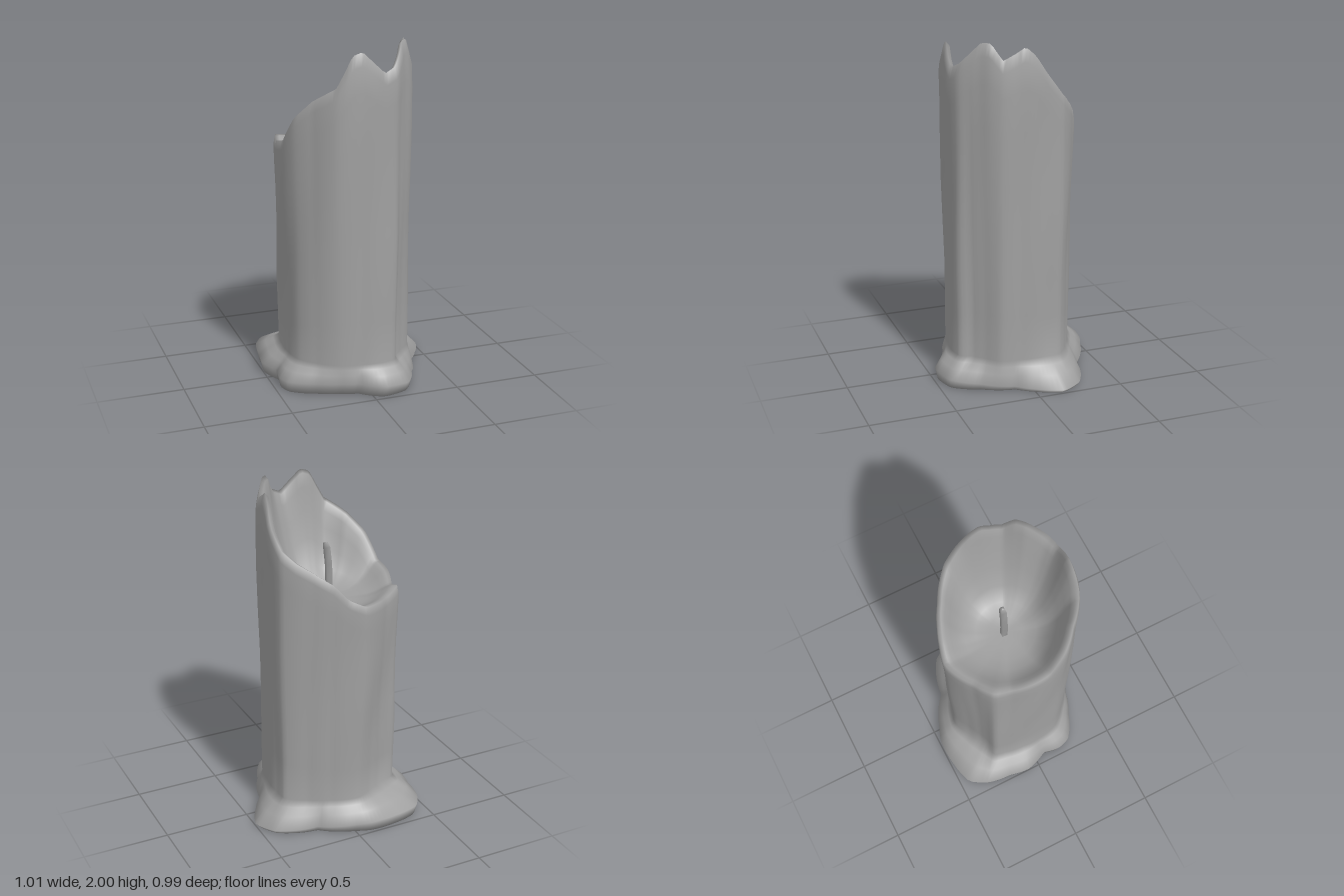
import * as THREE from 'three';

const CX = -0.03, N = 120;
const material = new THREE.MeshStandardMaterial({ color: 0xa0a0a0, side: THREE.DoubleSide });

// Outlines as [x, z] seen from above
const FOOT = [
  [-0.08, -0.49], [-0.25, -0.49], [-0.41, -0.45], [-0.47, -0.35], [-0.49, -0.2], [-0.51, -0.08],
  [-0.455, 0.06], [-0.475, 0.16], [-0.45, 0.235], [-0.3, 0.32], [-0.17, 0.37], [-0.07, 0.4],
  [0.06, 0.49], [0.215, 0.45], [0.3, 0.29], [0.37, 0.1], [0.44, 0], [0.505, -0.15],
  [0.435, -0.27], [0.36, -0.31], [0.2, -0.35], [0.1, -0.42], [0, -0.46]];
const LOWER = [
  [-0.06, -0.37], [0.1, -0.325], [0.22, -0.265], [0.29, -0.225], [0.335, -0.185], [0.34, -0.1],
  [0.335, 0.05], [0.32, 0.17], [0.25, 0.24], [0.19, 0.3], [0.165, 0.365], [0.08, 0.385], [-0.04, 0.375],
  [-0.17, 0.35], [-0.28, 0.27], [-0.36, 0.18], [-0.385, 0.06], [-0.385, -0.06], [-0.37, -0.17],
  [-0.355, -0.24], [-0.29, -0.255], [-0.24, -0.275], [-0.16, -0.32]];
// Rim points carry their height: [x, z, y]
const RIM = [
  [-0.08, -0.41, 1.39], [0.02, -0.385, 1.44], [0.1, -0.355, 1.53], [0.2, -0.3, 1.6], [0.28, -0.25, 1.65],
  [0.34, -0.19, 1.71], [0.36, -0.1, 1.82], [0.36, -0.03, 1.93], [0.355, 0.03, 1.98], [0.345, 0.08, 1.95],
  [0.33, 0.16, 1.91], [0.295, 0.225, 2], [0.25, 0.27, 2], [0.16, 0.365, 1.88], [0.09, 0.385, 1.85],
  [-0.04, 0.385, 1.97], [-0.1, 0.38, 1.95], [-0.19, 0.36, 1.78], [-0.3, 0.27, 1.7], [-0.38, 0.19, 1.6],
  [-0.415, 0.08, 1.45], [-0.415, -0.05, 1.42], [-0.38, -0.15, 1.38], [-0.37, -0.24, 1.41],
  [-0.25, -0.315, 1.38]];

// Turns an outline into a function of angle giving [radius, height]
function polar(points) {
  const list = points.map(([x, z, y = 0]) => [Math.atan2(z, x - CX), Math.hypot(x - CX, z), y])
    .sort((p, q) => p[0] - q[0]);
  const first = list[0], last = list[list.length - 1];
  list.unshift([last[0] - 2 * Math.PI, last[1], last[2]]);
  list.push([first[0] + 2 * Math.PI, first[1], first[2]]);
  return (angle) => {
    let k = 1;
    while (list[k][0] < angle) k++;
    const a = list[k - 1], b = list[k], t = (angle - a[0]) / (b[0] - a[0]);
    return [a[1] + (b[1] - a[1]) * t, a[2] + (b[2] - a[2]) * t];
  };
}

// Skins closed rings of [x, y, z]; rings run from the bottom up
function loft(name, rings) {
  const n = rings[0].length, index = [];
  for (let i = 0; i < rings.length - 1; i++) {
    for (let j = 0; j < n; j++) {
      const a = i * n + j, b = i * n + (j + 1) % n;
      index.push(a, a + n, b, b, a + n, b + n);
    }
  }
  const geometry = new THREE.BufferGeometry();
  geometry.setAttribute('position', new THREE.Float32BufferAttribute(rings.flat(2), 3));
  geometry.setIndex(index);
  geometry.computeVertexNormals();
  const mesh = new THREE.Mesh(geometry, material);
  mesh.name = name;
  return mesh;
}

function createWax() {
  const foot = polar(FOOT), lower = polar(LOWER), rim = polar(RIM);
  const mix = THREE.MathUtils.lerp, footTop = 0.17;
  // Underside, running smoothly into the foot
  const rules = [() => [0, 0], (a) => [foot(a)[0] * 0.7, 0], (a) => [foot(a)[0] * 0.97, 0]];
  // Spilled foot: a thick lip that thins out towards the pointed side
  for (const [spread, rise] of [[1, 0], [0.6, 0.45], [0.25, 0.76], [0, 1]]) {
    rules.push((a) => {
      const lip = 0.065 - 0.045 * Math.max(0, Math.cos(a + 0.25));
      return [mix(lower(a)[0], foot(a)[0], spread), mix(lip, footTop, rise)];
    });
  }
  // Tall tips of the rim lean inwards
  const lean = (y) => 1 - 0.35 * Math.max(0, y - 1.82);
  // Column wall, swelling slightly towards the rim with uneven drips
  for (const t of [0.15, 0.3, 0.45, 0.6, 0.75, 0.88, 0.96]) {
    rules.push((a) => {
      const [r, top] = rim(a), y = mix(footTop, top, t);
      const drip = 0.006 * Math.sin(5 * a + 7 * t) * Math.sin(Math.PI * t);
      return [(mix(lower(a)[0], r, t ** 1.5) + drip) * lean(y), y];
    });
  }
  // Rim, then the hollow bowl down to its floor
  const floor = 1.31;
  for (const [s, h] of [[0.98, 1], [0.93, 0.97], [0.88, 0.85], [0.82, 0.65], [0.74, 0.4],
    [0.62, 0.17], [0.45, 0.04], [0.25, 0], [0, 0]]) {
    rules.push((a) => {
      const [r, top] = rim(a), y = mix(floor, top, h);
      return [mix(0.37, r, s ** 3) * s * lean(y), y];
    });
  }
  const rings = rules.map((rule) => Array.from({ length: N }, (_, j) => {
    const a = -Math.PI + (j / N) * 2 * Math.PI, [r, y] = rule(a);
    return [CX + r * Math.cos(a), y, r * Math.sin(a)];
  }));
  return loft('waxCandle', rings);
}

// Four-sided bent wick ending in a blunt tip
function createWick() {
  const steps = [[-0.035, 1.29, 0.022], [-0.04, 1.4, 0.022], [-0.036, 1.52, 0.022],
    [-0.025, 1.62, 0.022], [-0.02, 1.645, 0.016], [-0.02, 1.65, 0]];
  return loft('wick', steps.map(([x, y, r]) => [0, 1, 2, 3].map((k) => {
    const a = k * Math.PI / 2 + Math.PI / 4;
    return [x + r * Math.cos(a), y, -0.015 + r * Math.sin(a)];
  })));
}

export function createModel() {
  const group = new THREE.Group();
  group.name = 'meltedCandle';
  group.add(createWax(), createWick());
  return group;
}
